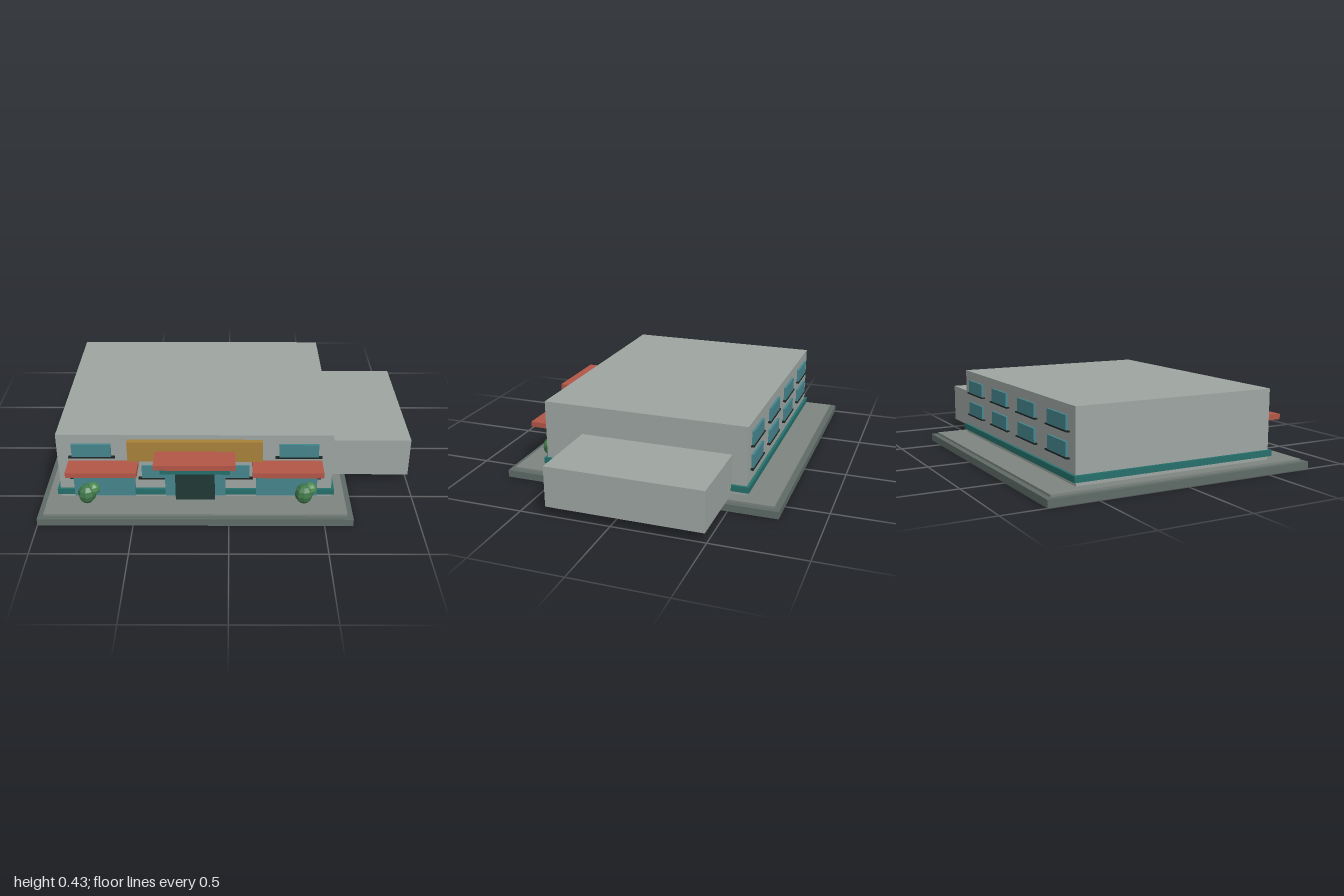
import * as THREE from 'three';

const mat = (color) => new THREE.MeshStandardMaterial({ color, flatShading: true });

export function createModel() {
  const model = new THREE.Group();
  model.name = 'building';

  const wall = mat(0x9ea6a2), paving = mat(0x7e8580), kerb = mat(0x5f6b67);
  const glass = mat(0x46868e), band = mat(0x25706c), dark = mat(0x203a36);
  const sill = mat(0x1c2422), red = mat(0xb35747), gold = mat(0xa8823a);
  const leaf = mat(0x40784a), leafLight = mat(0x4c8a52);

  // Box given by its extents on each axis
  const box = (name, material, [x0, x1], [y0, y1], [z0, z1], parent = model) => {
    const mesh = new THREE.Mesh(new THREE.BoxGeometry(x1 - x0, y1 - y0, z1 - z0), material);
    mesh.position.set((x0 + x1) / 2, (y0 + y1) / 2, (z0 + z1) / 2);
    mesh.name = name;
    parent.add(mesh);
    return mesh;
  };

  // Ground slabs
  box('groundSlab', kerb, [-1, 0.65], [0, 0.04], [-0.767, 0.767]);
  box('pavement', paving, [-0.97, 0.62], [0.04, 0.052], [-0.737, 0.737]);

  // Main block, side annex and plinth band
  box('mainBlock', wall, [-0.9, 0.547], [0.052, 0.434], [-0.572, 0.572]);
  box('annex', wall, [0.547, 1], [0.05, 0.272], [-0.49, 0.355]);
  box('plinthBand', band, [-0.915, 0.562], [0.073, 0.106], [-0.587, 0.587]);

  // Two rows of four windows with sills, front and back
  for (const side of [1, -1]) {
    for (const y of [0.178, 0.308]) {
      for (let i = 0; i < 4; i++) {
        const x = -0.719 + i * 0.362;
        const win = new THREE.Group();
        win.name = side > 0 ? 'frontWindow' : 'backWindow';
        const span = (depth) => (side > 0 ? [0.565, depth] : [-depth, -0.565]);
        box('pane', glass, [x - 0.103, x + 0.103], [y, y + 0.074], span(0.585), win);
        box('sill', sill, [x - 0.122, x + 0.122], [y - 0.007, y], span(0.589), win);
        model.add(win);
      }
    }
  }

  // Shop fronts, each with an awning and a shrub
  const shrubAt = (x) => {
    const shrub = new THREE.Group();
    shrub.name = 'shrub';
    const clumps = [
      ['largeClump', leaf, 0.049, 0.055, [0, 0.106, 0.625]],
      ['smallClump', leafLight, 0.036, 0.037, [0.033, 0.128, 0.612]],
    ];
    for (const [name, material, r, h, [dx, y, z]] of clumps) {
      const clump = new THREE.Mesh(new THREE.SphereGeometry(1, 8, 6), material);
      clump.scale.set(r, h, r);
      clump.position.set(x + dx, y, z);
      clump.name = name;
      shrub.add(clump);
    }
    model.add(shrub);
  };
  for (const x of [-0.66, 0.307]) {
    box('shopFront', glass, [x - 0.162, x + 0.162], [0.07, 0.25], [0.565, 0.593]);
    box('shopAwning', red, [x - 0.184, x + 0.184], [0.25, 0.279], [0.57, 0.695]);
  }
  for (const x of [-0.752, 0.398]) shrubAt(x);

  // Entrance: glazing, dark doorway, canopy, sign panel and upper awning
  box('entranceGlazing', glass, [-0.338, -0.018], [0.07, 0.25], [0.565, 0.593]);
  box('doorway', dark, [-0.284, -0.075], [0.052, 0.289], [0.565, 0.603]);
  box('entranceCanopy', band, [-0.36, 0.005], [0.248, 0.275], [0.57, 0.66]);
  box('signPanel', gold, [-0.53, 0.177], [0.289, 0.407], [0.565, 0.6]);
  box('entranceAwning', red, [-0.386, 0.033], [0.321, 0.351], [0.57, 0.734]);

  return model;
}
